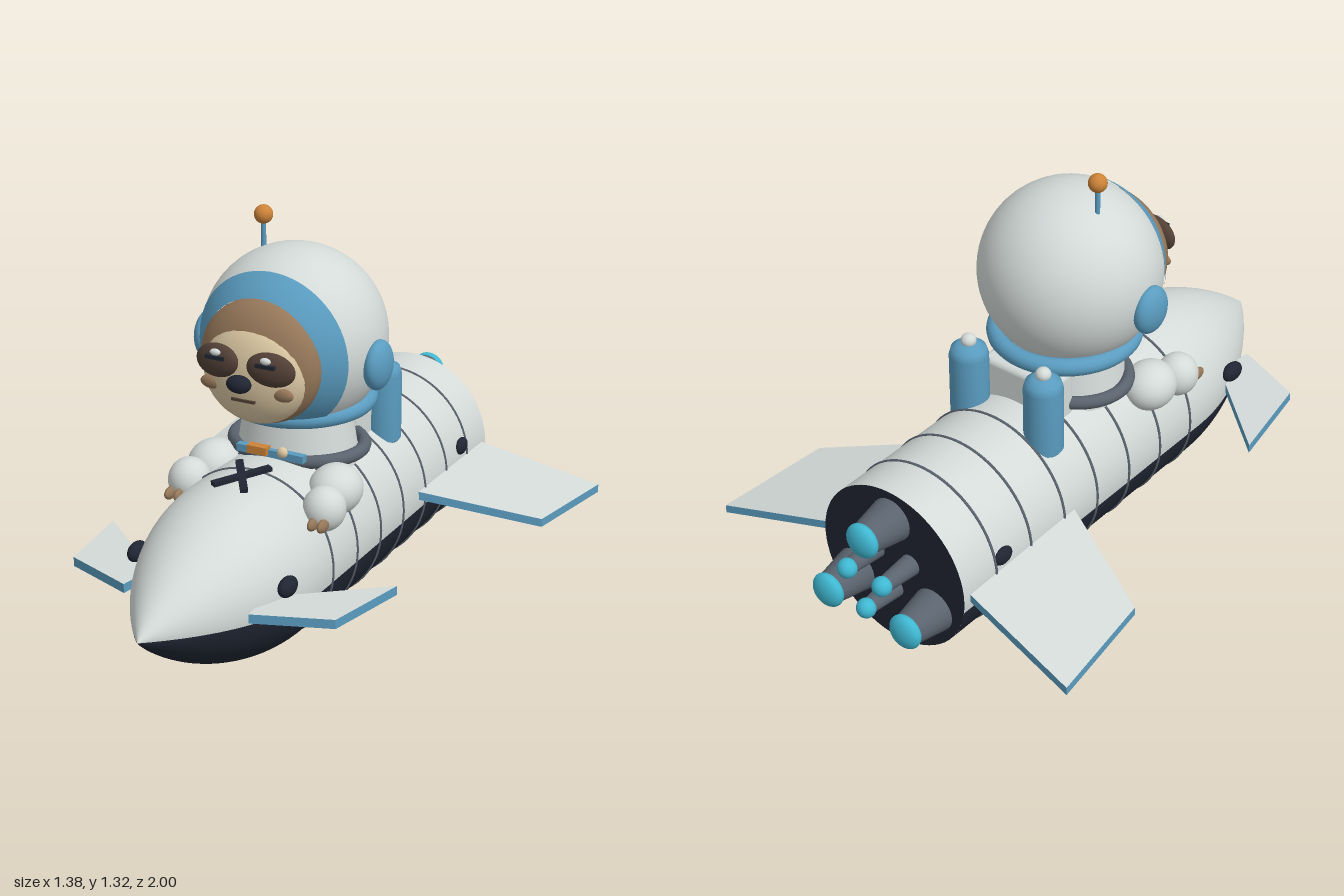
import * as THREE from 'three';
import { RoundedBoxGeometry } from 'three/addons/geometries/RoundedBoxGeometry.js';

const mat = (name, color) => new THREE.MeshStandardMaterial({ name, color });

export function createModel() {
  const model = new THREE.Group();
  const white = mat('shellWhite', 0xd3dad8), navy = mat('navy', 0x1f2532), blue = mat('trimBlue', 0x5a9cc0);
  const cyan = mat('flameCyan', 0x3fb8d2), charcoal = mat('charcoal', 0x5a636e), orange = mat('orange', 0xcc8338);
  const cream = mat('faceCream', 0xdac7a2), brown = mat('furBrown', 0x957759), dark = mat('patchBrown', 0x524036);

  const add = (name, geo, material, x = 0, y = 0, z = 0, parent = model) => {
    const m = new THREE.Mesh(geo, material);
    m.name = name;
    m.position.set(x, y, z);
    parent.add(m);
    return m;
  };
  const ball = (name, material, p, r, parent = model) => {
    const m = add(name, new THREE.SphereGeometry(1, 32, 20), material, ...p, parent);
    m.scale.set(...r);
    return m;
  };
  const box = (name, material, p, s) => add(name, new THREE.BoxGeometry(...s), material, ...p);

  // Hull: one ogive profile, split lengthwise into a white top and a navy belly
  const R = 0.28, CY = 0.285, seam = THREE.MathUtils.degToRad(81.3);
  const profile = [new THREE.Vector2(R, -0.84)];
  for (let i = 0; i <= 24; i++) {
    const t = i / 24;
    profile.push(new THREE.Vector2(R * (1 - t * t), 0.36 + 0.64 * t));
  }
  const hull = (name, material, start, length) =>
    add(name, new THREE.LatheGeometry(profile, 40, start, length).rotateX(Math.PI / 2), material, 0, CY, 0);
  hull('hullTop', white, seam, 2 * (Math.PI - seam));
  hull('hullBelly', navy, -seam, 2 * seam);
  add('hullBackPlate', new THREE.CircleGeometry(R, 64).rotateY(Math.PI), navy, 0, CY, -0.84);
  for (let i = 0; i < 7; i++)
    add('panelSeam', new THREE.TorusGeometry(R, 0.005, 6, 64), charcoal, 0, CY, 0.305 - i * 0.1655);

  // Engines: three large nozzles and three small ones between them
  for (let i = 0; i < 6; i++) {
    const big = i % 2 === 0, a = Math.PI / 2 + i * Math.PI / 3, d = big ? 0.18 : 0.08;
    const x = d * Math.cos(a), y = CY + d * Math.sin(a);
    const nozzle = new THREE.CylinderGeometry(big ? 0.075 : 0.036, big ? 0.05 : 0.025, 0.14, 24).rotateX(Math.PI / 2);
    add('engineNozzle', nozzle, charcoal, x, y, -0.9);
    ball('engineGlow', cyan, [x, y, -0.969], big ? [0.058, 0.058, 0.031] : [0.032, 0.032, 0.031]);
  }

  // Wing slab: white top, navy underside, blue edges
  const wing = (name, corners, heightAt, thick, side) => {
    const pts = corners.map(([x, z]) => [x * side, heightAt(x, z), z]);
    if (side < 0) pts.reverse();
    const low = pts.map(([x, y, z]) => [x, y - thick, z]);
    const v = [];
    const quad = (a, b, c, d) => v.push(...a, ...b, ...c, ...a, ...c, ...d);
    quad(...pts);
    quad(low[3], low[2], low[1], low[0]);
    for (let i = 0; i < 4; i++) quad(pts[i], low[i], low[(i + 1) % 4], pts[(i + 1) % 4]);
    const g = new THREE.BufferGeometry();
    g.setAttribute('position', new THREE.Float32BufferAttribute(v, 3));
    g.computeVertexNormals();
    g.addGroup(0, 6, 0);
    g.addGroup(6, 6, 1);
    g.addGroup(12, 24, 2);
    add(name, g, [white, navy, blue]);
  };

  for (const s of [1, -1]) {
    wing('rearWing', [[0.2, -0.27], [0.645, -0.48], [0.69, -0.87], [0.2, -0.8]],
      (x, z) => 0.308 - 0.235 * (x - 0.28) + 0.02 * (z + 0.3), 0.028, s);
    wing('frontFin', [[0.215, 0.725], [0.455, 0.63], [0.505, 0.32], [0.2, 0.59]],
      (x, z) => 0.307 + 0.04 * (z - 0.72), 0.03, s);

    // Portholes
    ball('frontPorthole', navy, [s * 0.262, 0.34, 0.567], [0.025, 0.032, 0.045]);
    ball('rearPorthole', navy, [s * 0.274, 0.342, -0.65], [0.018, 0.029, 0.038]);

    // Arms, hands and claws
    ball('upperArm', white, [s * 0.215, 0.492, 0.165], [0.085, 0.08, 0.095]);
    ball('hand', white, [s * 0.238, 0.478, 0.285], [0.068, 0.072, 0.07]);
    for (const x of [0.235, 0.268]) ball('claw', brown, [s * x, 0.452, 0.352], [0.014, 0.021, 0.033]);

    // Air tanks
    const tank = [[0, -0.135], [0.055, -0.135], [0.063, -0.125], [0.063, 0.095], [0.056, 0.12], [0.035, 0.135], [0, 0.14]];
    add('airTank', new THREE.LatheGeometry(tank.map(p => new THREE.Vector2(...p)), 28), blue, s * 0.148, 0.612, -0.295);
    ball('tankValve', white, [s * 0.148, 0.758, -0.295], [0.025, 0.023, 0.025]);

    // Helmet ear pads
    ball('earPad', blue, [s * 0.298, 0.877, 0.045], [0.04, 0.08, 0.072]);

    // Eyes and cheeks
    const patch = ball('eyePatch', dark, [s * 0.092, 0.928, 0.354], [0.078, 0.054, 0.028]);
    patch.rotation.set(0, s * 0.15, -s * 0.1);
    box('eyelid', navy, [s * 0.086, 0.946, 0.381], [0.065, 0.012, 0.012]);
    ball('eyeGlint', white, [s * 0.086, 0.962, 0.378], [0.018, 0.011, 0.01]);
    ball('cheek', brown, [s * 0.123, 0.847, 0.339], [0.037, 0.022, 0.014]);
  }

  // Helmet shell, visor rim and neck ring
  const zone = (r, from, to) => {
    const a = THREE.MathUtils.degToRad(from), b = THREE.MathUtils.degToRad(to);
    return new THREE.SphereGeometry(r, 56, 36, 0, Math.PI * 2, a, b - a).rotateX(Math.PI / 2 + 0.05);
  };
  add('helmet', zone(0.293, 58, 180), white, 0, 0.92, 0.028);
  add('visorRim', zone(0.297, 42, 61), blue, 0, 0.92, 0.028);
  add('neckRing', new THREE.TorusGeometry(0.22, 0.029, 14, 56).rotateX(Math.PI / 2), blue, 0, 0.711, 0);
  add('antennaRod', new THREE.CylinderGeometry(0.008, 0.008, 0.13, 12), blue, -0.125, 1.21, 0);
  ball('antennaTip', orange, [-0.125, 1.285, 0], [0.03, 0.03, 0.03]);

  // Head
  ball('head', brown, [0, 0.905, 0.245], [0.205, 0.199, 0.1]);
  ball('face', cream, [0, 0.882, 0.28], [0.178, 0.166, 0.088]);
  ball('nose', navy, [0, 0.877, 0.388], [0.041, 0.028, 0.028]);
  box('mouth', dark, [0, 0.815, 0.36], [0.08, 0.009, 0.012]);

  // Torso, cockpit ring and backpack
  const torso = add('torso', new THREE.CylinderGeometry(0.168, 0.2, 0.2, 40), white, 0, 0.61, 0.01);
  torso.scale.z = 0.92;
  const cockpit = add('cockpitRing', new THREE.TorusGeometry(0.215, 0.022, 12, 56).rotateX(Math.PI / 2), charcoal, 0, 0.556, 0);
  cockpit.scale.z = 0.83;
  add('backpack', new RoundedBoxGeometry(0.28, 0.18, 0.12, 3, 0.02), white, 0, 0.59, -0.19);

  // Chest controls and crossed steering bars
  box('controlPanel', blue, [0, 0.579, 0.187], [0.235, 0.024, 0.025]);
  box('controlButton', orange, [-0.038, 0.588, 0.2], [0.068, 0.026, 0.03]);
  ball('controlKnob', cream, [0.052, 0.597, 0.21], [0.018, 0.018, 0.014]);
  for (const s of [1, -1]) {
    const bar = box('steeringBar', navy, [0, 0.572, 0.375], [0.024, 0.014, 0.2]);
    bar.rotation.set(0.07, s * 0.58, 0, 'XYZ');
  }
  return model;
}
